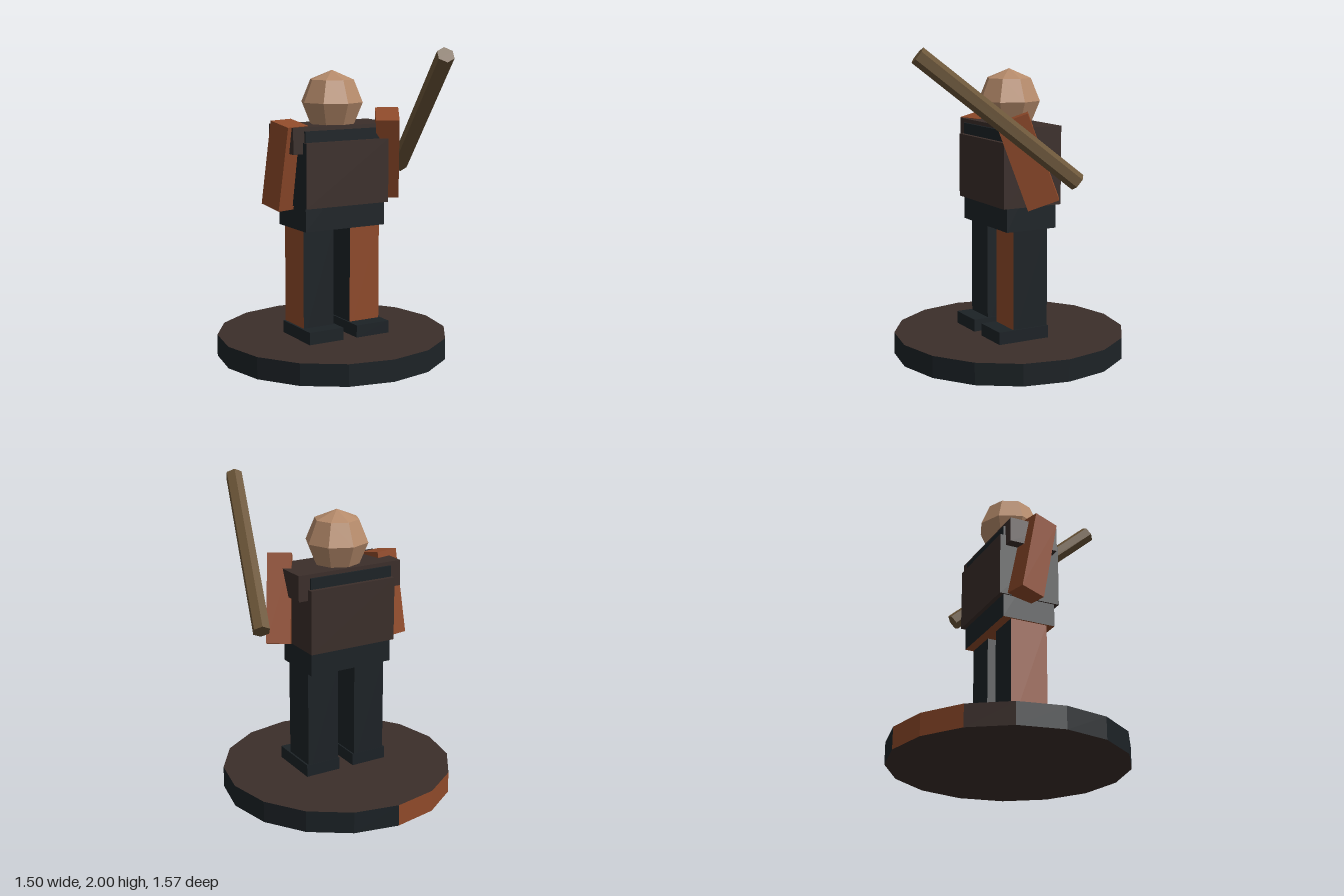
import * as THREE from 'three';

const paint = (color) => new THREE.MeshStandardMaterial({ color, flatShading: true });

export function createModel() {
  const model = new THREE.Group();
  model.name = 'figure';

  const dark = paint(0x1c2226), brown = paint(0x3b2e2a), rust = paint(0x8f4a2a);
  const skin = paint(0xb58a6a), wood = paint(0x6b5538);

  const add = (name, geometry, material) => {
    const mesh = new THREE.Mesh(geometry, material);
    mesh.name = name;
    model.add(mesh);
    return mesh;
  };

  // Box given by its extents; odd faces (+x, -x, +y, -y, +z, -z order) may be repainted
  const box = (name, [x0, x1], [y0, y1], [z0, z1], material, odd = {}) => {
    const sides = Array.from({ length: 6 }, (_, i) => odd[i] ?? material);
    const mesh = add(name, new THREE.BoxGeometry(x1 - x0, y1 - y0, z1 - z0),
      Object.keys(odd).length ? sides : material);
    mesh.position.set((x0 + x1) / 2, (y0 + y1) / 2, (z0 + z1) / 2);
    return mesh;
  };

  // Points a mesh's y axis along `axis`, with its x axis along `side`
  const orient = (mesh, center, axis, side) => {
    const y = axis.clone().normalize();
    const x = side.clone().addScaledVector(y, -side.dot(y)).normalize();
    const z = new THREE.Vector3().crossVectors(x, y);
    mesh.quaternion.setFromRotationMatrix(new THREE.Matrix4().makeBasis(x, y, z));
    mesh.position.copy(center);
  };
  const v = (x, y, z) => new THREE.Vector3(x, y, z);

  // Sixteen-sided base with three repainted rim panels at the back
  const rim = 16;
  const baseGeo = new THREE.CylinderGeometry(0.75, 0.75, 0.14, rim);
  baseGeo.clearGroups();
  for (let i = 0; i < rim; i++) {
    baseGeo.addGroup(i * 6, 6, i === 8 || i === 9 ? 2 : i === 10 ? 1 : 0);
  }
  baseGeo.addGroup(rim * 6, rim * 6, 1);
  add('base', baseGeo, [dark, brown, rust]).position.set(0, 0.07, -0.035);

  // Legs and feet
  box('rightLeg', [-0.28, -0.06], [0.14, 0.86], [-0.155, 0.09], dark, { 1: rust });
  box('leftLeg', [0.06, 0.28], [0.14, 0.86], [-0.155, 0.09], dark, { 4: rust });
  box('rightFoot', [-0.295, -0.05], [0.14, 0.22], [-0.157, 0.195], dark);
  box('leftFoot', [0.05, 0.292], [0.14, 0.22], [-0.157, 0.195], dark);

  // Torso, the coat around it and the shoulder yoke through it
  box('torso', [-0.29, 0.287], [0.85, 1.48], [-0.212, 0.14], dark, { 3: rust });
  box('coat', [-0.3, 0.3], [1.0, 1.41], [-0.24, 0.168], brown, { 1: dark });
  box('shoulders', [-0.367, 0.365], [1.34, 1.505], [-0.2, 0.125], brown);

  // Head
  add('head', new THREE.SphereGeometry(0.202, 8, 4), skin).position.set(0, 1.642, -0.035);

  // Arms
  const rightArm = add('rightArm', new THREE.BoxGeometry(0.164, 0.545, 0.17), rust);
  orient(rightArm, v(-0.34, 1.257, -0.04), v(0.015, 0.535, 0.105), v(0.16, 0, -0.035));
  const leftArm = add('leftArm', new THREE.BoxGeometry(0.15, 0.56, 0.2), rust);
  orient(leftArm, v(0.37, 1.3, 0.04), v(-0.105, 0.534, 0.165), v(0.12, 0, 0.07));

  // Six-sided club, one ridge uppermost
  const tip = v(0.32, 1.957, 0.747), butt = v(0.605, 1.187, -0.17);
  const axis = tip.clone().sub(butt);
  const club = add('club', new THREE.CylinderGeometry(0.056, 0.056, axis.length(), 6), wood);
  orient(club, tip.clone().add(butt).multiplyScalar(0.5), axis,
    new THREE.Vector3().crossVectors(axis, v(0, 1, 0)));

  return model;
}
